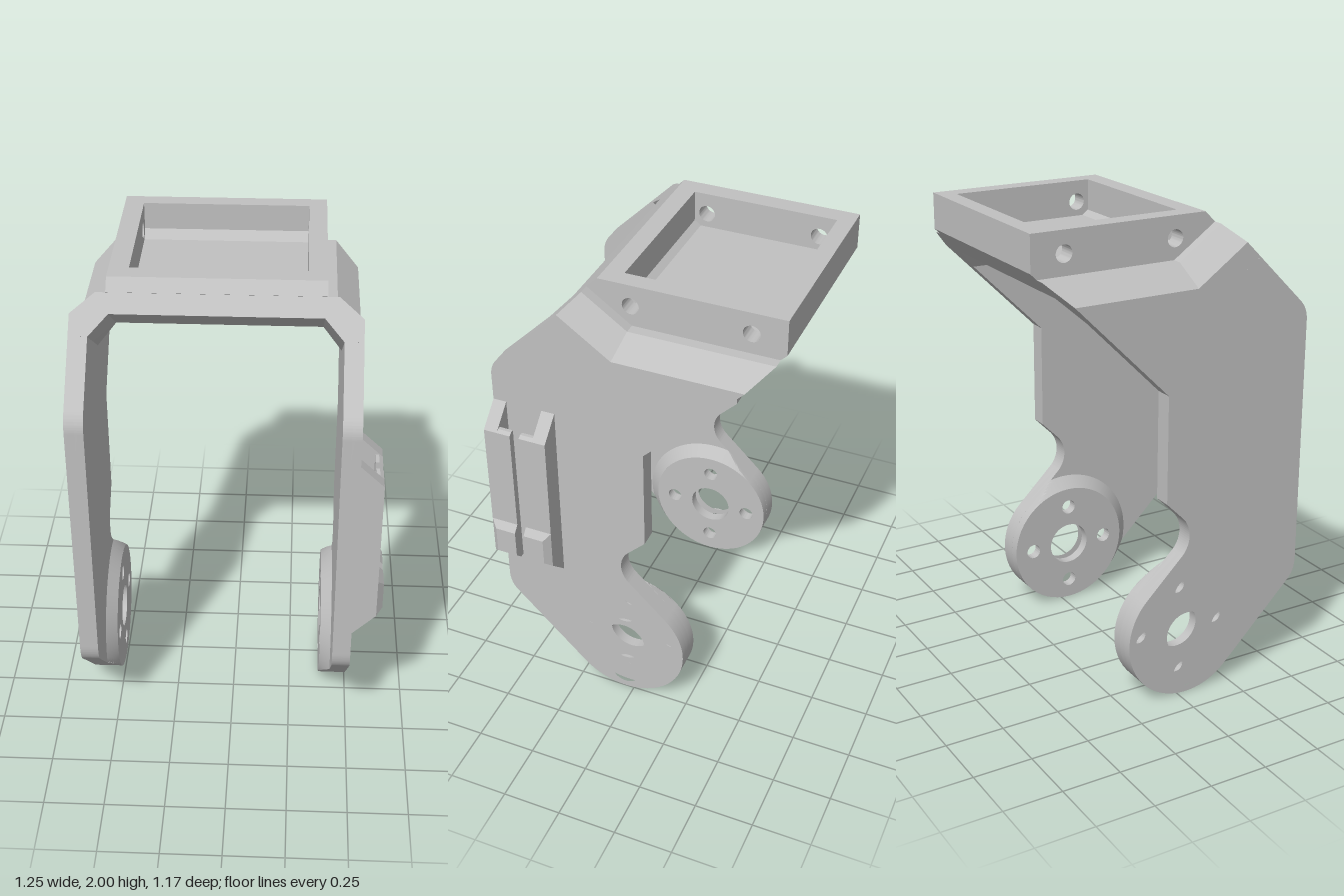
import * as THREE from 'three';
import { toCreasedNormals } from 'three/addons/utils/BufferGeometryUtils.js';

const V = (x, y, z) => new THREE.Vector3(x, y, z);
const polygon = pts => new THREE.Shape(pts.map(p => new THREE.Vector2(...p)));

// Circular hole to punch through a shape
function hole(u, v, r) {
  const path = new THREE.Path();
  path.absarc(u, v, r, 0, Math.PI * 2, true);
  return path;
}

function extrude(shape, depth) {
  const geo = new THREE.ExtrudeGeometry(shape, { depth, bevelEnabled: false, curveSegments: 28 });
  return toCreasedNormals(geo, 0.4);
}

// Side profile (u = -z, v = y) extruded from x0 to x1
const extrudeX = (shape, x0, x1) => extrude(shape, x1 - x0).rotateY(Math.PI / 2).translate(x0, 0, 0);

// Skin through rings ordered from the + end of an axis to its - end
function loft(rings, closed, capContour) {
  const out = [], n = rings[0].length;
  const tri = (...pts) => pts.forEach(p => out.push(p.x, p.y, p.z));
  for (let r = 0; r < rings.length - 1; r++) {
    const a = rings[r], b = rings[r + 1];
    for (let i = 0; i < (closed ? n : n - 1); i++) {
      const j = (i + 1) % n;
      tri(a[i], b[i], b[j]);
      tri(a[i], b[j], a[j]);
    }
  }
  if (capContour) {
    const first = rings[0], last = rings[rings.length - 1];
    for (const [a, b, c] of THREE.ShapeUtils.triangulateShape(capContour, [])) {
      tri(first[a], first[b], first[c]);
      tri(last[c], last[b], last[a]);
    }
  }
  const geo = new THREE.BufferGeometry();
  geo.setAttribute('position', new THREE.Float32BufferAttribute(out, 3));
  geo.computeVertexNormals();
  return toCreasedNormals(geo, 0.4);
}

// Joint at the foot of each arm, in side-profile coordinates
const JU = -0.04, JV = 0.275, JR = 0.275;
function jointHoles(shape, boltRadius) {
  shape.holes.push(hole(JU, JV, 0.095));
  for (let i = 0; i < 4; i++) {
    const a = i * Math.PI / 2;
    shape.holes.push(hole(JU + 0.185 * Math.cos(a), JV + 0.185 * Math.sin(a), boltRadius));
  }
  return shape;
}

function armShape(boltRadius) {
  const s = new THREE.Shape();
  const q = Math.PI / 4;
  s.moveTo(-0.585, 1.54);
  s.quadraticCurveTo(-0.585, 1.59, -0.55, 1.625);
  s.lineTo(-0.346, 1.829);
  s.lineTo(-0.09, 1.65);
  s.lineTo(0.385, 1.65);
  s.lineTo(0.065, 1.33);
  s.lineTo(0.065, 0.875);
  s.absarc(0.075, 0.715, 0.12, 3 * q, 5 * q, false);
  s.absarc(JU, JV, JR, q, -3 * q, true);
  s.lineTo(-0.55, 0.396);
  s.quadraticCurveTo(-0.585, 0.43, -0.585, 0.49);
  s.closePath();
  return jointHoles(s, boltRadius);
}

// Flared collar around the pad, trimmed to the straight edges of the arm
function collar(xWide, xNarrow) {
  const rings = [];
  for (let k = 0; k <= 6; k++) {
    const t = k / 6, ring = [];
    for (let i = 0; i <= 60; i++) {
      const a = Math.PI / 4 + Math.PI * i / 60;
      const limit = JR / Math.max(0.01, Math.abs(Math.cos(a - Math.PI / 4)));
      const r = Math.min(JR + 0.05 * (1 - t), limit);
      ring.push(V(xWide + (xNarrow - xWide) * t, JV + r * Math.sin(a), -(JU + r * Math.cos(a))));
    }
    rings.push(ring);
  }
  if (xWide < xNarrow) rings.reverse();
  return loft(rings, false);
}

export function createModel() {
  const model = new THREE.Group();
  model.name = 'bracket';
  const grey = new THREE.MeshStandardMaterial({ color: 0xc0c0c0 });
  grey.name = 'light grey';
  const add = (name, geo, parent = model) => {
    const mesh = new THREE.Mesh(geo, grey);
    mesh.name = name;
    parent.add(mesh);
  };

  // Arms: counterbored outer layer, inner layer, raised pad with collar
  const mid = -0.0625;
  for (const [name, s] of [['leftArm', 1], ['rightArm', -1]]) {
    const arm = new THREE.Group();
    arm.name = name;
    model.add(arm);
    const at = d => mid + s * d;
    const layer = (label, shape, d0, d1) =>
      add(label, extrudeX(shape, Math.min(at(d0), at(d1)), Math.max(at(d0), at(d1))), arm);
    layer('armOuterLayer', armShape(0.062), 0.5225, 0.5625);
    layer('armInnerLayer', armShape(0.033), 0.4875, 0.5225);
    const disc = new THREE.Shape();
    disc.absarc(JU, JV, JR, 0, Math.PI * 2, false);
    layer('jointPad', jointHoles(disc, 0.033), 0.4425, 0.4875);
    add('padCollar', collar(at(0.4875), at(0.4425)), arm);
  }

  // Bridge: chamfered arch section, flat at the back and rising to the front
  const half = [[0.4875, 1.65], [0.5625, 1.65], [0.5625, 1.74], [0.4675, 1.825]];
  const innerTop = [0.4125, 1.74];
  const section = [
    ...half, ...half.slice().reverse().map(([x, y]) => [-x, y]),
    [-innerTop[0], innerTop[1]], innerTop,
  ].map(([x, y]) => new THREE.Vector2(x + mid, y));
  const bend = h => 0.035 + 0.315 * (1.825 - h);
  const frontRing = section.map(p => {
    const z = (2.175 - p.y + 0.7 * bend(p.y)) / 1.7;
    return V(p.x, 2.175 - z, z);
  });
  const bendRing = section.map(p => V(p.x, p.y, bend(p.y)));
  const backRing = section.map(p => V(p.x, p.y, 1.265 - p.y));
  add('bridge', loft([frontRing, bendRing, backRing], true, section));

  // Tray on top: side walls with cross holes, then floor with end walls
  const wall = [[-0.22, 1.955], [-0.035, 1.825], [0.56, 1.825], [0.585, 1.85], [0.585, 2], [-0.175, 2]];
  for (const [x0, x1] of [[0.285, 0.36], [-0.49, -0.41]]) {
    const shape = polygon(wall);
    shape.holes.push(hole(-0.04, 1.91, 0.035), hole(0.445, 1.91, 0.035));
    add('traySideWall', extrudeX(shape, x0, x1));
  }
  add('trayFloor', extrudeX(polygon([
    ...wall, [-0.095, 2], [-0.095, 1.87], [-0.068, 1.85],
    [0.48, 1.85], [0.515, 1.885], [0.515, 2],
  ].slice(0, 5).concat([
    [0.515, 2], [0.515, 1.885], [0.48, 1.85], [-0.068, 1.85], [-0.095, 1.87], [-0.095, 2], [-0.175, 2],
  ])), -0.41, 0.285));

  // Cable clip on the left arm: two rails with lips and raised stops
  const clip = new THREE.Group();
  clip.name = 'cableClip';
  model.add(clip);
  const rail = polygon([[0.5, 0.605], [0.595, 0.7], [0.595, 1.335], [0.5, 1.425]]);
  const lip = polygon([[0.565, 0.69], [0.585, 0.69], [0.595, 0.7], [0.595, 1.335], [0.58, 1.345], [0.565, 1.345]]);
  const stop = [[0.595, 0.7], [0.62, 0.725], [0.62, 0.845], [0.595, 0.875]];
  const stopRing = z => stop.map(([x, y]) => V(x, y, z));
  const stopEnd = z => [0.7, 0.7, 0.875, 0.875].map(y => V(0.595, y, z));
  const stopContour = stop.map(p => new THREE.Vector2(...p));
  add('clipRail', extrude(rail, 0.057).translate(0, 0, 0.528), clip);
  add('clipRail', extrude(rail, 0.057).translate(0, 0, 0.315), clip);
  add('clipLip', extrude(lip, 0.058).translate(0, 0, 0.47), clip);
  add('clipLip', extrude(lip, 0.058).translate(0, 0, 0.372), clip);
  add('clipStop', loft([stopEnd(0.585), stopRing(0.558), stopRing(0.47)], true, stopContour), clip);
  add('clipStop', loft([stopRing(0.43), stopRing(0.342), stopEnd(0.315)], true, stopContour), clip);

  return model;
}
